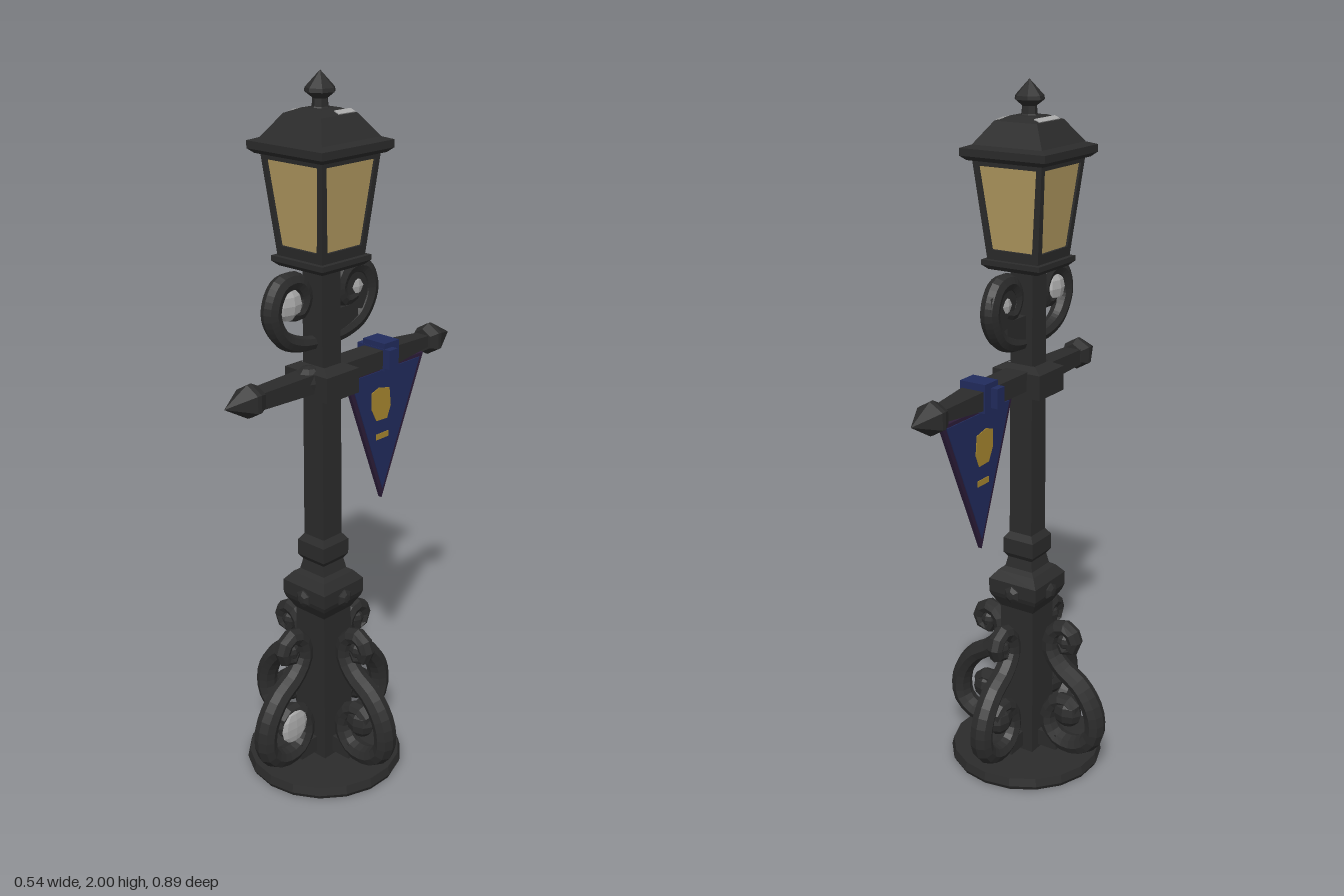
import * as THREE from 'three';

const flat = (name, color) => {
  const m = new THREE.MeshStandardMaterial({ color, flatShading: true });
  m.name = name;
  return m;
};

export function createModel() {
  const iron = flat('dark iron', 0x2b2b2b);
  const glass = flat('amber glass', 0xb0985f);
  const blue = flat('banner blue', 0x212b5c);
  const trim = flat('banner trim', 0x2c1c38);
  const gold = flat('emblem gold', 0xa5852f);
  const silver = flat('worn silver', 0xa9a9a9);

  const model = new THREE.Group();
  model.name = 'streetLamp';
  const lamp = new THREE.Group(); // everything centred on the post axis
  lamp.name = 'lampPost';
  lamp.position.z = 0.09;
  model.add(lamp);

  const add = (parent, name, geometry, material, x = 0, y = 0, z = 0) => {
    const mesh = new THREE.Mesh(geometry, material);
    mesh.name = name;
    mesh.position.set(x, y, z);
    parent.add(mesh);
    return mesh;
  };
  const v2 = (list) => list.map(([x, y]) => new THREE.Vector2(x, y));
  // Square section turned from [half width, height] pairs
  const square = (list) =>
    new THREE.LatheGeometry(v2(list.map(([h, y]) => [h * Math.SQRT2, y])), 4, Math.PI / 4);
  const turned = (list, sides) => new THREE.LatheGeometry(v2(list), sides);

  // Base and post
  add(lamp, 'basePlate', turned([[0, 0], [0.222, 0], [0.228, 0.012], [0.222, 0.036], [0, 0.04]], 18), iron);
  add(lamp, 'lowerColumn', square([[0.058, 0.03], [0.055, 0.5], [0.075, 0.535], [0.08, 0.55], [0.08, 0.59],
    [0.06, 0.615], [0.046, 0.625], [0.04, 0.655], [0.05, 0.67], [0.05, 0.715], [0.036, 0.735]]), iron);
  add(lamp, 'post', square([[0.037, 0.7], [0.035, 1.52]]), iron);
  add(lamp, 'armCollar', square([[0.035, 1.145], [0.062, 1.155], [0.062, 1.225], [0.035, 1.24]]), iron).scale.x = 1.25;
  add(lamp, 'collarKnob', new THREE.SphereGeometry(0.042, 8, 6), iron, 0, 1.2, 0.05);
  for (let k = 0; k < 4; k++) {
    const boss = turned([[0.026, 0], [0.026, 0.008], [0.013, 0.016], [0, 0.017]], 6);
    boss.rotateX(Math.PI / 2).translate(0, 0.557, 0.076).rotateY(k * Math.PI / 2);
    add(lamp, 'collarBoss', boss, iron);
  }

  // Scroll: a tube along a planar curve, tapered at both ends and widened sideways
  const scrollGeometry = (points, radius, widen, ends) => {
    const path = new THREE.CatmullRomCurve3(points.map(([x, y]) => new THREE.Vector3(x, y, 0)));
    const steps = 36, sides = 8;
    const g = new THREE.TubeGeometry(path, steps, radius, sides);
    const p = g.attributes.position;
    const v = new THREE.Vector3();
    for (let i = 0; i < p.count; i++) {
      const t = Math.floor(i / (sides + 1)) / steps;
      const c = path.getPointAt(t);
      const s = ends + (1 - ends) * Math.sin(Math.PI * t);
      v.fromBufferAttribute(p, i).sub(c).multiplyScalar(s);
      p.setXYZ(i, c.x + v.x, c.y + v.y, v.z * widen);
    }
    return g;
  };
  const ball = (radius, depth) => new THREE.SphereGeometry(radius, 8, 6).scale(1, 1, depth);

  // Four scroll brackets around the foot
  const footPath = [[0.15, 0.155], [0.175, 0.185], [0.145, 0.215], [0.1, 0.2], [0.078, 0.14], [0.11, 0.085],
    [0.18, 0.078], [0.233, 0.12], [0.235, 0.2], [0.19, 0.275], [0.12, 0.325], [0.085, 0.38],
    [0.1, 0.44], [0.145, 0.452], [0.168, 0.41], [0.14, 0.38], [0.122, 0.405]];
  for (let k = 0; k < 4; k++) {
    const bracket = new THREE.Group();
    bracket.name = 'footScroll';
    bracket.rotation.y = k * Math.PI / 2;
    add(bracket, 'footScrollBand', scrollGeometry(footPath, 0.03, 1.15, 0.6), iron);
    add(bracket, 'lowerScrollEye', ball(0.046, 0.75), iron, 0.145, 0.178);
    add(bracket, 'upperScrollEye', ball(0.027, 0.9), iron, 0.135, 0.41);
    add(bracket, 'scrollFoot', new THREE.BoxGeometry(0.07, 0.05, 0.05), iron, 0.085, 0.075);
    lamp.add(bracket);
  }
  add(lamp, 'wornScrollFace', ball(0.05, 0.2).rotateY(Math.PI / 2), silver, 0.032, 0.185, 0.155);

  // Two scrolls beneath the lantern, front and back
  const topPath = [[0.02, 1.3], [0.09, 1.31], [0.15, 1.34], [0.185, 1.41], [0.155, 1.475], [0.095, 1.48],
    [0.065, 1.435], [0.085, 1.395], [0.125, 1.4]];
  for (const side of [1, -1]) {
    const bracket = new THREE.Group();
    bracket.name = 'lanternScroll';
    bracket.rotation.y = -side * Math.PI / 2;
    add(bracket, 'lanternScrollBand', scrollGeometry(topPath, 0.027, 1, 0.7), iron);
    add(bracket, 'lanternScrollEye', ball(side > 0 ? 0.046 : 0.034, 0.6), silver, 0.125, 1.425);
    lamp.add(bracket);
  }
  const web = new THREE.CylinderGeometry(0.065, 0.065, 0.03, 12).rotateZ(Math.PI / 2);
  add(lamp, 'backScrollWeb', web, iron, 0, 1.425, -0.14);
  add(lamp, 'backScrollFillet', new THREE.BoxGeometry(0.03, 0.07, 0.1), iron, 0, 1.345, -0.075);

  // Lantern
  add(lamp, 'lanternFloor', square([[0, 1.505], [0.078, 1.505], [0.092, 1.518], [0.092, 1.532], [0, 1.538]]), iron);
  add(lamp, 'lanternGlass', square([[0.074, 1.53], [0.101, 1.8]]), glass);
  const tilt = Math.atan(0.028 / 0.27);
  const frame = new THREE.Shape(v2([[-0.08, 0], [0.08, 0], [0.108, 0.272], [-0.108, 0.272]]));
  frame.holes.push(new THREE.Path(v2([[-0.064, 0.03], [-0.09, 0.254], [0.09, 0.254], [0.064, 0.03]])));
  for (let k = 0; k < 4; k++) {
    const g = new THREE.ExtrudeGeometry(frame, { depth: 0.01, bevelEnabled: false });
    g.translate(0, 0, -0.01).rotateX(tilt).translate(0, 1.53, 0.08).rotateY(k * Math.PI / 2);
    add(lamp, 'lanternFrame', g, iron);
  }
  add(lamp, 'lanternRoof', square([[0, 1.796], [0.118, 1.796], [0.132, 1.808], [0.132, 1.828], [0.108, 1.836],
    [0.066, 1.895], [0.035, 1.908], [0, 1.91]]), iron);
  add(lamp, 'roofFinial', turned([[0.034, 1.895], [0.022, 1.912], [0.02, 1.932], [0.041, 1.948],
    [0.039, 1.958], [0.014, 1.985], [0, 2]], 7), iron);
  for (const side of [1, -1]) {
    const patch = new THREE.BoxGeometry(0.018, 0.004, side > 0 ? 0.06 : 0.1);
    add(lamp, 'wornRoofPatch', patch, silver, side * 0.055, 1.9, side > 0 ? -0.03 : 0).rotation.z = -side * 0.4;
  }

  // Crossbar with a spearhead at each end
  const bar = (list) => square(list).rotateX(Math.PI / 2);
  add(model, 'frontArm', bar([[0.033, 0.09], [0.026, 0.345]]).scale(1, 0.85, 1), iron, 0, 1.198);
  add(model, 'backArm', bar([[0.036, 0], [0.035, 0.27], [0.021, 0.43]]).scale(1, 0.75, 1), iron, 0, 1.202, 0.09)
    .rotation.y = Math.PI;
  for (const side of [1, -1]) {
    const head = turned([[0, 0], [0.034, 0], [0.047, 0.025], [0.046, 0.038], [0, 0.118]], 6);
    add(model, 'spearhead', head.rotateX(side * Math.PI / 2), iron, 0, 1.2, side * 0.327);
  }

  // Hanging banner, drawn from its side and turned to run along the bar
  const plate = (name, list, thickness, material) => {
    const g = new THREE.ExtrudeGeometry(new THREE.Shape(v2(list)), { depth: thickness, bevelEnabled: false });
    add(model, name, g.translate(0, 0, -thickness / 2).rotateY(Math.PI / 2), material);
  };
  plate('bannerBorder', [[0.15, 0.765], [0.325, 1.168], [-0.002, 1.168]], 0.012, trim);
  plate('bannerCloth', [[0.151, 0.795], [0.306, 1.158], [0.016, 1.158]], 0.018, blue);
  plate('bannerShield', [[0.1, 1.05], [0.12, 1.012], [0.165, 1.01], [0.18, 1.045], [0.174, 1.1], [0.13, 1.11],
    [0.1, 1.1]], 0.022, gold);
  plate('bannerStripe', [[0.12, 0.953], [0.172, 0.953], [0.172, 0.97], [0.12, 0.97]], 0.022, gold);
  add(model, 'bannerClasp', new THREE.BoxGeometry(0.12, 0.055, 0.034), blue, 0, 1.205, -0.133);
  add(model, 'bannerStrap', new THREE.BoxGeometry(0.08, 0.08, 0.06), blue, 0, 1.208, -0.148);

  return model;
}
